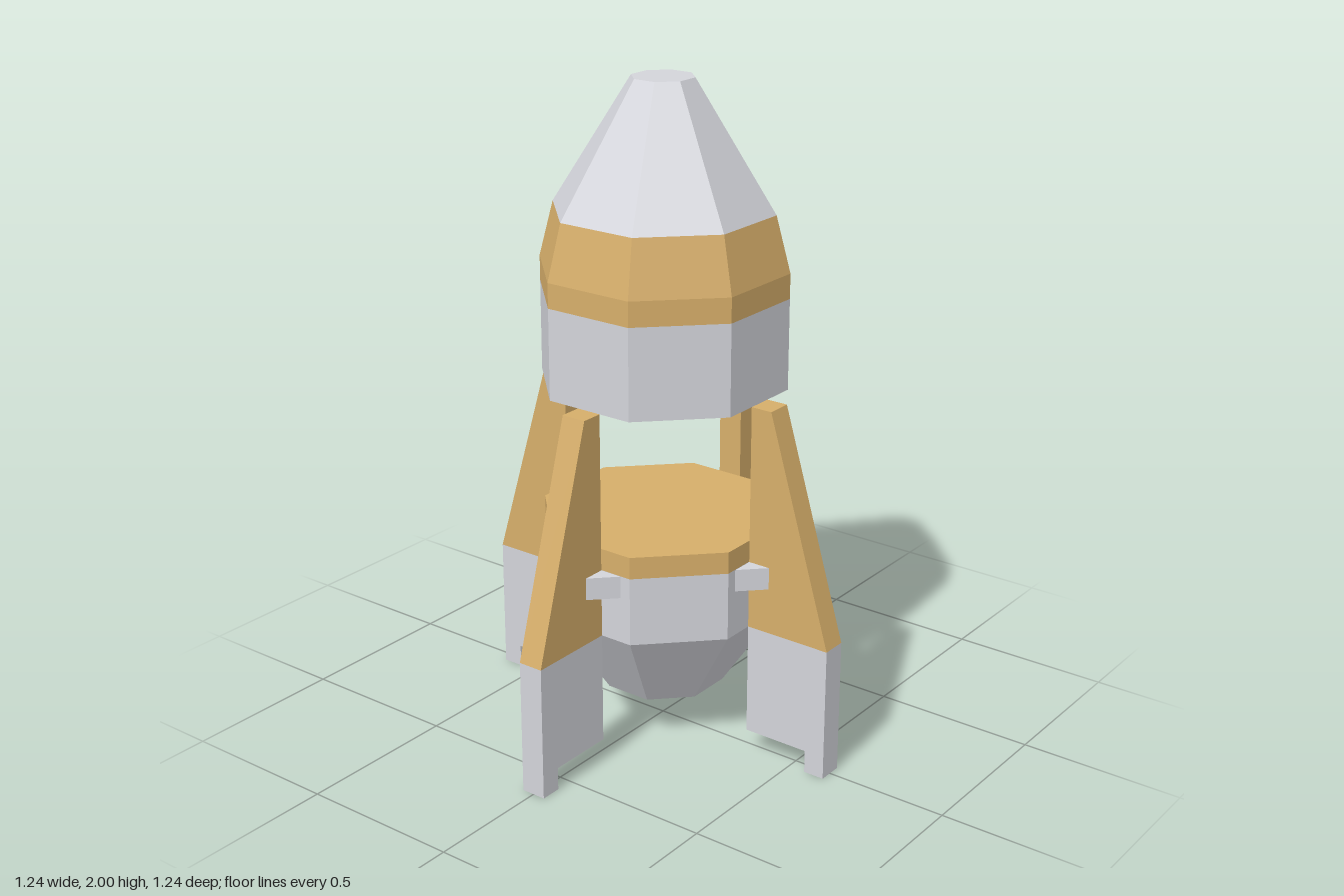
import * as THREE from 'three';

const grey = new THREE.MeshStandardMaterial({ name: 'pale grey', color: 0xd3d4da, flatShading: true });
const gold = new THREE.MeshStandardMaterial({ name: 'gold', color: 0xd6ae6a, flatShading: true });

const R = 0.345; // distance from the axis to a hull facet

function addMesh(parent, name, geometry, material) {
  const mesh = new THREE.Mesh(geometry, material);
  mesh.name = name;
  parent.add(mesh);
  return mesh;
}

// Eight-sided hull section with facets facing the axes; profile is [apothem, y]
function octagon(profile) {
  const k = 1 / Math.cos(Math.PI / 8);
  const points = profile.map(([r, y]) => new THREE.Vector2(r * k, y));
  const geometry = new THREE.LatheGeometry(points, 8, Math.PI / 8).toNonIndexed();
  geometry.computeVertexNormals();
  return geometry;
}

function plate(points, depth) {
  const shape = new THREE.Shape(points.map(([x, y]) => new THREE.Vector2(x, y)));
  return new THREE.ExtrudeGeometry(shape, { depth, bevelEnabled: false });
}

export function createModel() {
  const model = new THREE.Group();
  model.name = 'rocket';

  // Lower hull: tapered base, straight wall and closed gold lid
  const lower = new THREE.Group();
  lower.name = 'lowerHull';
  addMesh(lower, 'lowerBody', octagon([[0, 0.14], [0.175, 0.14], [R, 0.415], [R, 0.625]]), grey);
  addMesh(lower, 'lowerLid', octagon([[R, 0.625], [R, 0.692], [0, 0.692]]), gold);
  model.add(lower);

  // Upper hull: hollow from below, gold band, pointed nose
  const upper = new THREE.Group();
  upper.name = 'upperHull';
  addMesh(upper, 'upperBody', octagon([[0, 1.45], [0.28, 1.45], [0.28, 1.105], [R, 1.105], [R, 1.38]]), grey);
  addMesh(upper, 'goldBand', octagon([[R, 1.38], [R, 1.455], [0.305, 1.622]]), gold);
  addMesh(upper, 'nose', octagon([[0.305, 1.622], [0.086, 2], [0, 2]]), grey);
  model.add(upper);

  // Four fins with stepped feet and a pair of triangular brackets each
  const finTop = plate([[R, 0.415], [0.62, 0.415], [0.412, 1.105], [R, 1.105]], 0.078).translate(0, 0, -0.039);
  const finFoot = plate([[R, 0.07], [0.555, 0.07], [0.555, 0], [0.62, 0], [0.62, 0.415], [R, 0.415]], 0.078)
    .translate(0, 0, -0.039);
  const brackets = [1, -1].map((s) => {
    const corners = [[R, 0.039 * s], [0.415, 0.039 * s], [R, 0.109 * s]];
    return plate(corners, 0.068).rotateX(-Math.PI / 2).translate(0, 0.556, 0);
  });
  for (let i = 0; i < 4; i++) {
    const fin = new THREE.Group();
    fin.name = 'fin' + (i + 1);
    addMesh(fin, 'finBlade', finTop, gold);
    addMesh(fin, 'finFoot', finFoot, grey);
    brackets.forEach((b) => addMesh(fin, 'bracket', b, grey));
    fin.rotation.y = (i * Math.PI) / 2;
    model.add(fin);
  }
  return model;
}
